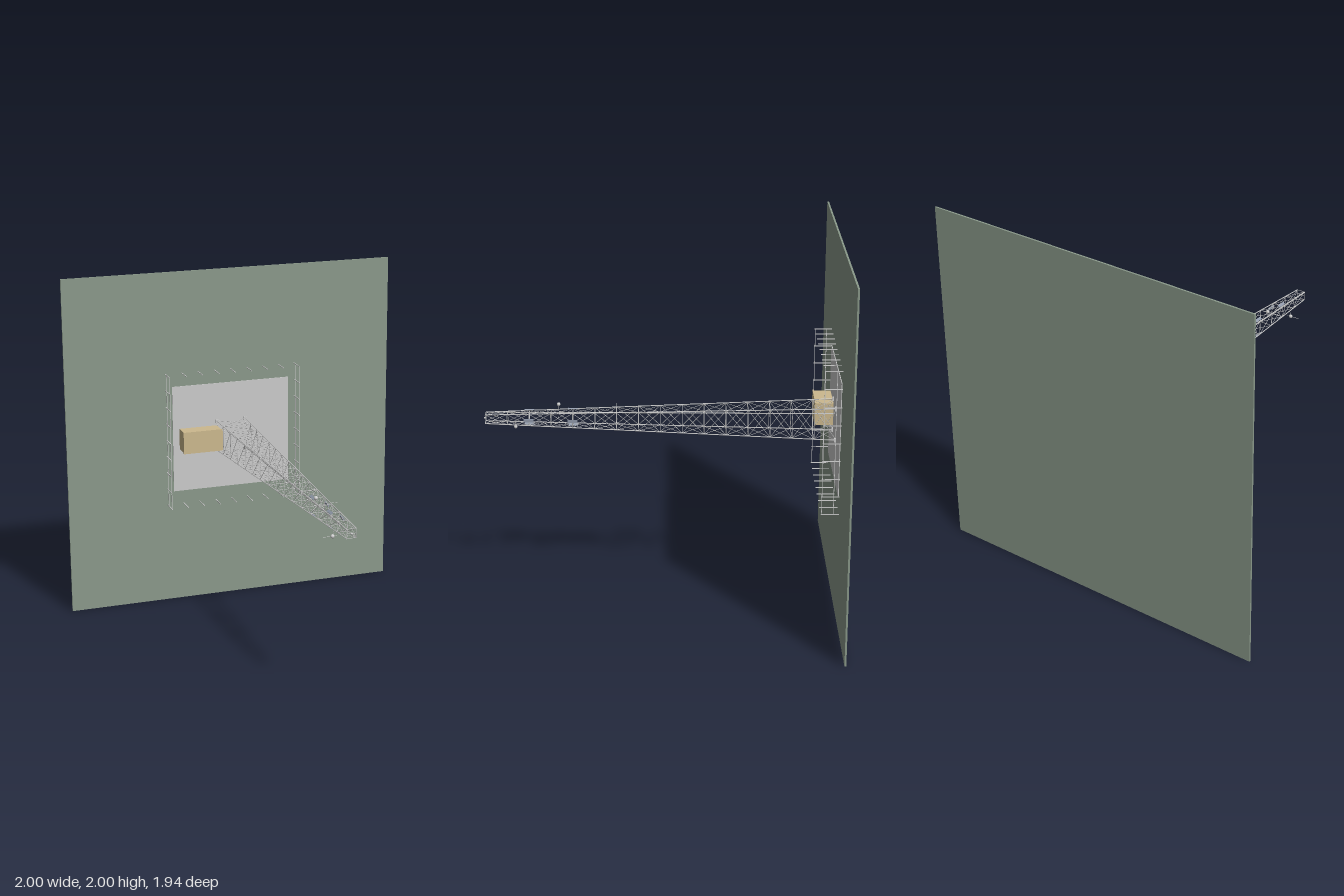
import * as THREE from 'three';

const paint = (color) => new THREE.MeshStandardMaterial({ color });
const steel = paint(0xcccccc);
const V = (x, y, z) => new THREE.Vector3(x, y, z);

export function createModel() {
  const model = new THREE.Group();
  const site = new THREE.Group(); // axis of the mast runs along z at y = 1
  site.name = 'mastSite';
  site.position.y = 1;
  model.add(site);

  const group = (name) => {
    const g = new THREE.Group();
    g.name = name;
    site.add(g);
    return g;
  };
  const add = (parent, name, geo, mat, x, y, z) => {
    const m = new THREE.Mesh(geo, mat);
    m.name = name;
    m.position.set(x, y, z);
    parent.add(m);
    return m;
  };
  const box = (parent, name, w, h, d, x, y, z, mat = steel) =>
    add(parent, name, new THREE.BoxGeometry(w, h, d), mat, x, y, z);
  // Straight round bar between two points
  const bar = (parent, name, a, b, r, sides = 4, mat = steel) => {
    const dir = b.clone().sub(a);
    const mid = a.clone().add(b).multiplyScalar(0.5);
    const m = add(parent, name, new THREE.CylinderGeometry(r, r, dir.length(), sides), mat, mid.x, mid.y, mid.z);
    m.quaternion.setFromUnitVectors(V(0, 1, 0), dir.normalize());
    return m;
  };

  const floor = -0.96;
  const top = 0.96;

  // Ground, concrete pad and equipment shelter
  box(site, 'ground', 2, 2, 0.01, 0, 0, -0.965, paint(0x8a998a));
  box(site, 'concretePad', 0.72, 0.64, 0.004, 0, 0, floor + 0.002);
  const tan = paint(0xccb98e);
  box(site, 'shelter', 0.23, 0.125, 0.1, -0.205, 0, -0.908, tan);
  box(site, 'shelterRoof', 0.24, 0.131, 0.006, -0.205, 0, -0.857, tan);

  // Fence posts on all four sides, rails along the two sides
  const fence = group('fence');
  for (let i = 0; i <= 8; i++) {
    const p = -0.4 + i * 0.1;
    for (const s of [-0.4, 0.4]) {
      box(fence, 'fencePost', 0.004, 0.004, 0.1, s, p, -0.912);
      if (i > 0 && i < 8) box(fence, 'fencePost', 0.004, 0.004, 0.1, p, s, -0.912);
    }
  }
  for (const s of [-0.4, 0.4])
    for (const z of [-0.93, -0.867]) box(fence, 'fenceRail', 0.003, 0.8, 0.003, s, 0, z);

  // Tapered lattice mast
  const mast = group('latticeMast');
  const half = (z) => THREE.MathUtils.mapLinear(z, floor, top, 0.09, 0.025);
  const signs = [[1, 1], [-1, 1], [-1, -1], [1, -1]];
  const corner = (i, z) => {
    const [sx, sy] = signs[i % 4];
    return V(sx * half(z), sy * half(z), z);
  };
  const bays = 16;
  const levelZ = (k) => floor + (k * (top - floor)) / bays;
  for (let i = 0; i < 4; i++) {
    bar(mast, 'leg', corner(i, floor), corner(i, top), 0.0028, 6);
    const foot = corner(i, floor);
    box(mast, 'footing', 0.02, 0.02, 0.012, foot.x, foot.y, floor + 0.006);
    for (let k = 0; k <= bays; k++) {
      const z = levelZ(k);
      bar(mast, 'horizontal', corner(i, z), corner(i + 1, z), 0.0016);
      if (k === bays) continue;
      const next = levelZ(k + 1);
      bar(mast, 'brace', corner(i, z), corner(i + 1, next), 0.0014);
      bar(mast, 'brace', corner(i + 1, z), corner(i, next), 0.0014);
    }
  }
  bar(mast, 'cableRun', V(-0.027, 0.024, floor), V(-0.027, 0.024, top), 0.003, 6);

  // Two rings of three panel antennas
  const panelPaint = paint(0x8f98a8);
  for (const [z, r] of [[0.72, 0.046], [0.48, 0.054]]) {
    const ring = group('antennaRing');
    for (let i = 0; i < 3; i++) {
      const sector = new THREE.Group();
      sector.name = 'sector';
      sector.rotation.z = (i * Math.PI * 2) / 3;
      ring.add(sector);
      box(sector, 'panelAntenna', 0.006, 0.016, 0.054, r, 0, z, panelPaint);
      bar(sector, 'antennaArm', V(0, 0, z), V(r, 0, z), 0.0015);
    }
  }

  // Small dish drums on arms
  for (const [y, z] of [[0.068, 0.56], [-0.063, 0.8]]) {
    const dish = group('dish');
    const drum = add(dish, 'dishDrum', new THREE.SphereGeometry(0.011, 12, 8), steel, -0.038, y, z);
    drum.scale.z = 0.9;
    const h = half(z);
    bar(dish, 'dishArm', V(-h, Math.sign(y) * h, z), V(-0.038, y, z), 0.0015);
  }
  bar(site, 'whipAntenna', V(-0.09, -0.063, 0.8), V(-0.015, -0.063, 0.8), 0.0012);
  bar(site, 'whipAntenna', V(0.05, 0.03, 0.555), V(0.085, 0.03, 0.555), 0.0012);

  // Side marker and top beacon
  bar(site, 'markerArm', V(0, 0, 0.237), V(0.078, 0, 0.237), 0.0015);
  bar(site, 'markerRod', V(0.03, -0.05, 0.24), V(0.03, 0.1, 0.24), 0.0012);
  add(site, 'sideMarker', new THREE.SphereGeometry(0.006, 10, 8), steel, 0.078, 0, 0.237);
  bar(site, 'beaconBar', V(-0.025, 0, top), V(0.025, 0, top), 0.0016);
  add(site, 'topBeacon', new THREE.SphereGeometry(0.006, 10, 8), steel, 0, 0, 0.964);

  return model;
}
